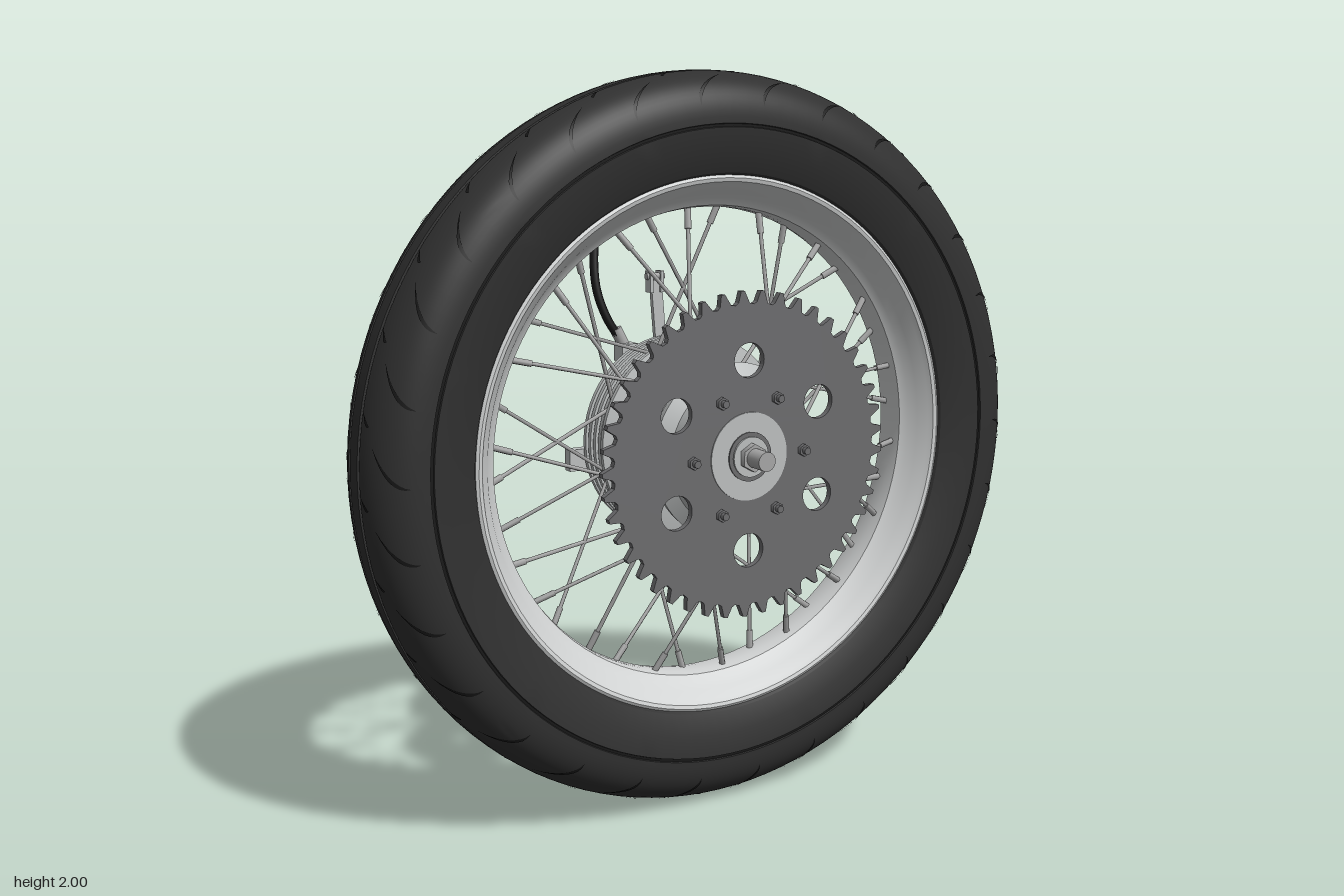
import * as THREE from 'three';
import { mergeGeometries, toCreasedNormals } from 'three/addons/utils/BufferGeometryUtils.js';

const mat = (name, color, side = THREE.FrontSide) => {
  const m = new THREE.MeshStandardMaterial({ color, side });
  m.name = name;
  return m;
};
const V = (x, y, z) => new THREE.Vector3(x, y, z);

export function createModel() {
  const rubber = mat('rubber', 0x303030);
  const groove = mat('groove black', 0x161616, THREE.DoubleSide);
  const alloy = mat('rim alloy', 0xd0d2d2);
  const cast = mat('cast hub', 0xbcbfbf);
  const steel = mat('steel', 0xa6a6a6);
  const plate = mat('sprocket grey', 0x6c6c6e);

  const model = new THREE.Group();
  model.name = 'wheel';
  const wheel = new THREE.Group();
  wheel.name = 'wheelAssembly';
  wheel.position.y = 1;
  model.add(wheel);

  const add = (name, geo, material) => {
    const m = new THREE.Mesh(geo, material);
    m.name = name;
    wheel.add(m);
    return m;
  };
  // Revolve [radius, z] points around the z axis; z rises along the outside
  const lathe = (name, pts, material, seg = 64) => {
    const g = new THREE.LatheGeometry(pts.map(p => new THREE.Vector2(p[0], p[1])), seg).rotateX(Math.PI / 2);
    return add(name, toCreasedNormals(g, 0.5), material);
  };
  // Cylinder along z between two depths
  const rod = (r, z0, z1, x = 0, y = 0, sides = 24) =>
    new THREE.CylinderGeometry(r, r, z1 - z0, sides).rotateX(Math.PI / 2).translate(x, y, (z0 + z1) / 2);
  // Cylinder between two points
  const strut = (a, b, r, sides = 6) => {
    const d = b.clone().sub(a);
    const q = new THREE.Quaternion().setFromUnitVectors(V(0, 1, 0), d.clone().normalize());
    const mid = a.clone().add(b).multiplyScalar(0.5);
    return new THREE.CylinderGeometry(r, r, d.length(), sides).applyQuaternion(q).translate(mid.x, mid.y, mid.z);
  };
  const box = (w, h, d, x, y, z) => new THREE.BoxGeometry(w, h, d).translate(x, y, z);
  const polar = (r, a, z) => V(r * Math.cos(a), r * Math.sin(a), z);

  // Tyre: rounded shoulder, two crown grooves, one sidewall line
  const shoulder = t => [0.86 + 0.14 * Math.sin(t) ** 0.85, 0.155 * Math.cos(t) ** 0.85];
  const half = [[0.715, 0.1], [0.735, 0.127], [0.79, 0.149], [0.852, 0.155], [0.854, 0.149], [0.86, 0.149], [0.862, 0.155]];
  for (let i = 1; i <= 14; i++) half.push(shoulder(i / 14 * 1.384));
  half.push([0.978, 0.036], [0.978, 0.026], [0.999, 0.025], [1, 0.01]);
  lathe('tyre', [...half.map(([r, z]) => [r, -z]), ...half.slice().reverse()], rubber, 120);
  for (const s of [-1, 1]) {
    lathe('crownGroove', [[0.981, s * 0.031 - 0.0055], [0.981, s * 0.031 + 0.0055]], groove, 120);
    lathe('sidewallLine', [[0.853, s * 0.1505], [0.861, s * 0.1505]], groove, 120);
  }

  // Tread cuts: thin curved ribbons laid on the shoulder
  const cut = (a0, side, t0, t1, sweep, width) => {
    const pos = [], idx = [], n = 8;
    for (let k = 0; k <= n; k++) {
      const u = k / n, [r, z] = shoulder(t0 + (t1 - t0) * u);
      const a = a0 - sweep * u * u, w = width * (0.1 + Math.sin(Math.PI * u));
      for (const e of [-w, w]) pos.push(...polar(r + 0.002, a + e, side * (z + 0.002)).toArray());
      if (k < n) idx.push(2 * k, 2 * k + 1, 2 * k + 2, 2 * k + 1, 2 * k + 3, 2 * k + 2);
    }
    const g = new THREE.BufferGeometry();
    g.setAttribute('position', new THREE.Float32BufferAttribute(pos, 3));
    g.setIndex(side > 0 ? idx : idx.reverse());
    g.computeVertexNormals();
    return g;
  };
  const cuts = [];
  for (let i = 0; i < 30; i++) for (const s of [-1, 1]) {
    const a = (i + (s > 0 ? 0 : 0.5)) / 30 * Math.PI * 2;
    cuts.push(cut(a, s, 0.3, 1.05, 0.1, 0.006), cut(a + 0.06, s, 1.17, 1.35, 0.03, 0.006));
  }
  add('treadCuts', mergeGeometries(cuts), groove);

  // Rim: lipped edge with a drop centre
  const rimHalf = [[0.732, 0.118], [0.722, 0.124], [0.712, 0.121], [0.703, 0.108], [0.682, 0.085], [0.668, 0.06], [0.648, 0.045], [0.643, 0.02]];
  lathe('rim', [...rimHalf, ...rimHalf.slice().reverse().map(([r, z]) => [r, -z])], alloy, 96);

  // Spokes with nipples, laced alternately to both hub flanges
  const spokes = [], nipples = [];
  for (let i = 0; i < 36; i++) {
    const a = (i + 0.5) / 36 * Math.PI * 2, s = i % 2 ? 1 : -1;
    const lean = (i % 4 < 2 ? 1 : -1) * 0.5;
    const hubEnd = polar(s > 0 ? 0.215 : 0.275, a + lean, s > 0 ? 0.14 : -0.06);
    const rimEnd = polar(0.65, a, s * 0.015);
    spokes.push(strut(hubEnd, rimEnd, 0.0055));
    nipples.push(strut(rimEnd.clone().lerp(hubEnd, 0.13), rimEnd, 0.009));
  }
  add('spokes', mergeGeometries(spokes), steel);
  add('nipples', mergeGeometries(nipples), steel);

  // Hub barrel with front spoke flange and sprocket carrier
  lathe('hub', [[0, -0.08], [0.17, -0.08], [0.155, 0], [0.16, 0.09], [0.235, 0.125], [0.24, 0.15],
    [0.205, 0.175], [0.205, 0.213], [0, 0.213]], cast);
  // Brake drum with cooling ribs
  const drum = [[0, -0.17], [0.27, -0.17]];
  for (let i = 0; i < 4; i++) {
    const z = -0.165 + i * 0.028;
    drum.push([0.283, z], [0.283, z + 0.014], [0.266, z + 0.016], [0.266, z + 0.026]);
  }
  drum.push([0.29, -0.053], [0.29, -0.04], [0.2, -0.02], [0, -0.02]);
  lathe('brakeDrum', drum, cast);
  // Domed brake cover
  lathe('brakeCover', [[0, -0.232], [0.055, -0.232], [0.068, -0.215], [0.1, -0.212], [0.17, -0.204],
    [0.235, -0.19], [0.268, -0.177], [0.276, -0.165], [0, -0.165]], cast);

  // Sprocket with teeth and six round openings
  const teeth = 45, shape = new THREE.Shape();
  for (let i = 0; i < teeth; i++) {
    [[0, 0.402], [0.25, 0.405], [0.5, 0.437], [0.68, 0.437], [0.85, 0.408]].forEach(([f, r], k) => {
      const a = (i + f) / teeth * Math.PI * 2, x = r * Math.cos(a), y = r * Math.sin(a);
      if (i || k) shape.lineTo(x, y); else shape.moveTo(x, y);
    });
  }
  shape.closePath();
  const bolts = [];
  for (let i = 0; i < 6; i++) {
    const h = polar(0.255, (i + 0.5) * Math.PI / 3, 0);
    const hole = new THREE.Path();
    hole.absarc(h.x, h.y, 0.046, 0, Math.PI * 2, true);
    shape.holes.push(hole);
    const b = polar(0.172, i * Math.PI / 3, 0);
    bolts.push(rod(0.017, 0.233, 0.245, b.x, b.y, 6), rod(0.01, 0.245, 0.258, b.x, b.y, 10));
  }
  add('sprocket', new THREE.ExtrudeGeometry(shape, { depth: 0.018, bevelEnabled: false, curveSegments: 20 })
    .translate(0, 0, 0.215), plate);
  add('sprocketBolts', mergeGeometries(bolts), plate);

  // Axle, collars and nuts
  add('frontCollar', rod(0.118, 0.2, 0.236, 0, 0, 48), cast);
  add('frontSeal', rod(0.066, 0.23, 0.24, 0, 0, 32), plate);
  add('frontSpacer', rod(0.054, 0.23, 0.245, 0, 0, 32), cast);
  add('frontNut', rod(0.038, 0.24, 0.263, 0, 0, 6), steel);
  add('rearNut', rod(0.042, -0.258, -0.23, 0, 0, 6), steel);
  add('axle', rod(0.026, -0.32, 0.32), steel);

  // Brake lever: pivot boss, arm and forked tip
  add('leverPivot', rod(0.032, -0.235, -0.19, 0, 0.19), cast);
  const arm = box(0.034, 0.24, 0.014, 0, 0.12, 0).rotateZ(0.08).translate(0, 0.19, -0.224);
  add('brakeLever', arm, cast);
  for (const s of [-1, 1]) add('leverFork', box(0.01, 0.06, 0.03, -0.022 + s * 0.017, 0.425, -0.222), cast);
  add('leverPin', strut(V(-0.05, 0.44, -0.222), V(0.006, 0.44, -0.222), 0.01, 10), steel);

  // Brake cable with its stop and ferrule
  add('cableStop', box(0.05, 0.05, 0.05, -0.125, 0.235, -0.205), cast);
  add('cableFerrule', strut(V(-0.125, 0.25, -0.215), V(-0.15, 0.3, -0.22), 0.017, 12), steel);
  const path = new THREE.CatmullRomCurve3([V(-0.13, 0.26, -0.213), V(-0.175, 0.33, -0.222), V(-0.2, 0.42, -0.238),
    V(-0.188, 0.55, -0.264), V(-0.145, 0.68, -0.285)]);
  add('brakeCable', new THREE.TubeGeometry(path, 30, 0.012, 10), groove);

  // Torque arm tab on the cover
  add('torqueTab', box(0.2, 0.06, 0.03, -0.22, -0.05, -0.19), cast);
  add('torqueSlot', box(0.16, 0.012, 0.004, -0.21, -0.05, -0.206), steel);

  // Side lug with a dark ribbed face
  add('sideLug', box(0.1, 0.085, 0.036, 0.25, 0.035, -0.185), cast);
  add('lugFace', box(0.085, 0.07, 0.004, 0.252, 0.035, -0.204), groove);
  for (let i = 0; i < 5; i++) add('lugRib', box(0.085, 0.004, 0.006, 0.252, 0.007 + i * 0.014, -0.206), plate);

  return model;
}
